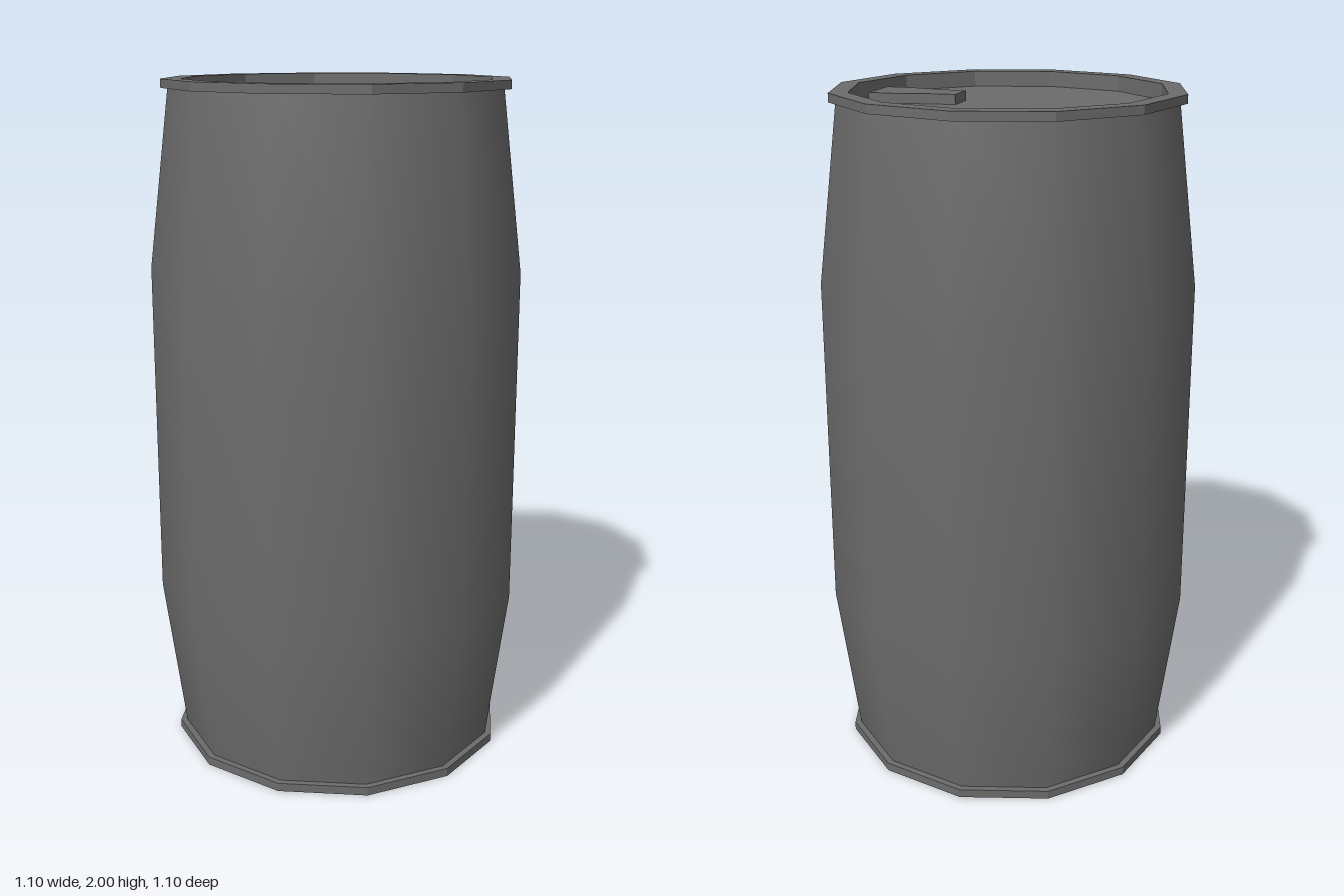
import * as THREE from 'three';

const SIDES = 12;
const COLOR = 0x6c6c6c;

export function createModel() {
  const group = new THREE.Group();
  const smooth = new THREE.MeshStandardMaterial({ color: COLOR });
  const flat = new THREE.MeshStandardMaterial({ color: COLOR, flatShading: true });

  const add = (name, geometry, material) => {
    const mesh = new THREE.Mesh(geometry, material);
    mesh.name = name;
    group.add(mesh);
  };
  // Profile points are [radius, height], running up the outside
  const lathe = (points) =>
    new THREE.LatheGeometry(points.map(([r, y]) => new THREE.Vector2(r, y)), SIDES);

  // Bulging wall, smooth shaded
  add('body', lathe([[0.485, 0.02], [0.548, 0.49], [0.548, 1.47], [0.485, 1.98]]), smooth);

  // Flat base with a thin projecting rim
  add('baseRim', lathe([[0, 0], [0.505, 0], [0.505, 0.025], [0.48, 0.025]]), flat);

  // Top rim stepping down to the recessed lid
  add('topRimAndLid', lathe([
    [0.48, 1.975], [0.505, 1.975], [0.505, 2], [0.451, 2], [0.451, 1.955], [0, 1.955],
  ]), flat);

  // Pull tab lying on the lid, flared towards the rim
  const half = [[0.142, 0.048], [0.215, 0.053], [0.315, 0.073], [0.392, 0.073]];
  const outline = [...half.map(([x, z]) => [x, -z]), ...half.slice().reverse()];
  const tab = new THREE.ExtrudeGeometry(
    new THREE.Shape(outline.map(([x, z]) => new THREE.Vector2(x, z))),
    { depth: 0.03, bevelEnabled: false },
  );
  tab.rotateX(-Math.PI / 2).translate(0, 1.953, 0);
  add('pullTab', tab, flat);

  return group;
}
